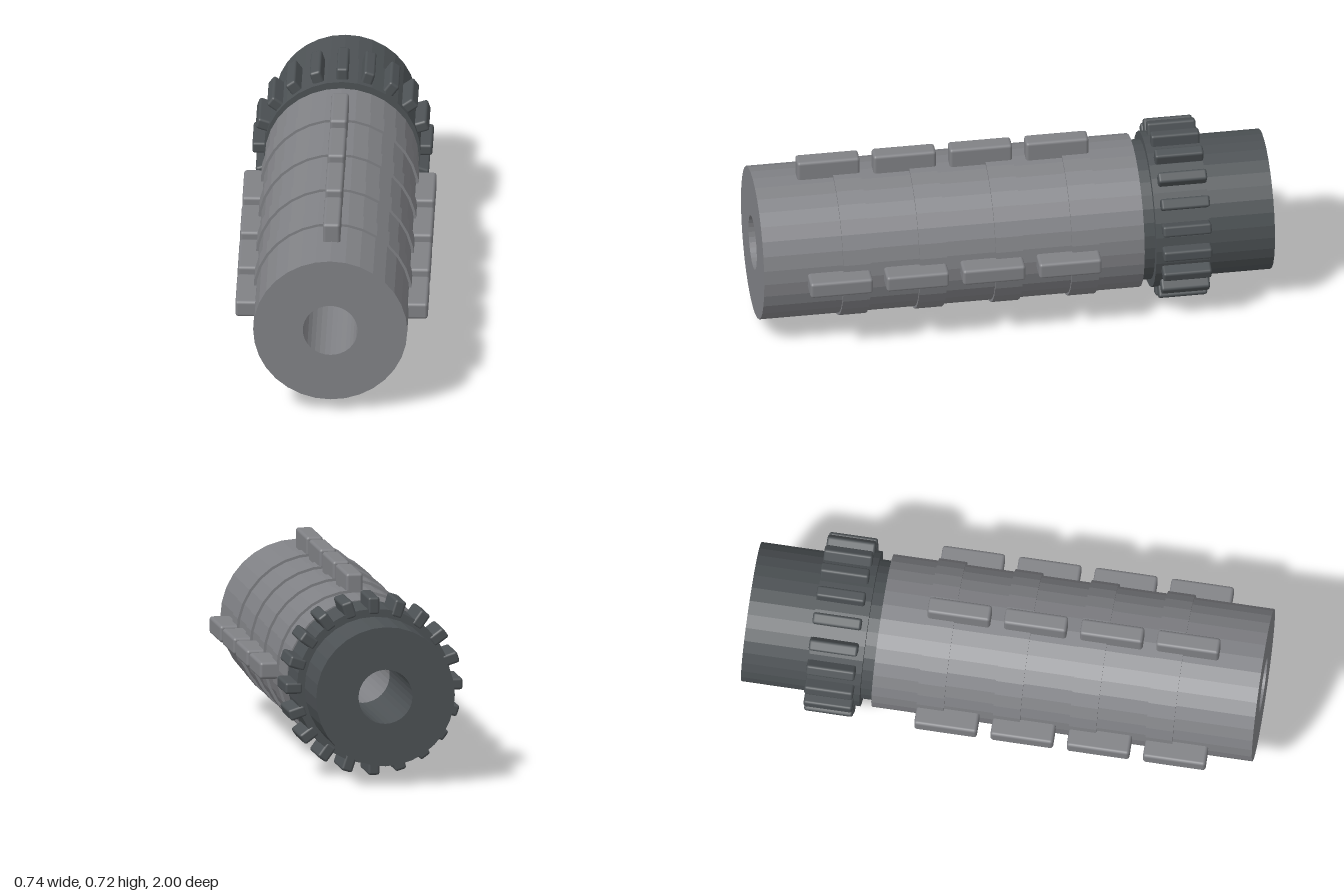
import * as THREE from 'three';
import { RoundedBoxGeometry } from 'three/addons/geometries/RoundedBoxGeometry.js';

const AXIS_Y = 0.348, BORE = 0.106, SIDES = 32;

const bodyGrey = new THREE.MeshStandardMaterial({ name: 'bodyGrey', color: 0x808185 });
const darkGrey = new THREE.MeshStandardMaterial({ name: 'darkGrey', color: 0x4d5255 });

export function createModel() {
  const model = new THREE.Group();
  model.name = 'ribbedGrip';

  const add = (name, geometry, material, parent = model) => {
    const mesh = new THREE.Mesh(geometry, material);
    mesh.name = name;
    parent.add(mesh);
    return mesh;
  };

  // Faceted tube along z, from a closed profile
  const tube = (name, inner, outer, z0, z1, material) => {
    const profile = [[inner, z0], [outer, z0], [outer, z1], [inner, z1], [inner, z0]]
      .map(([r, z]) => new THREE.Vector2(r, z));
    const geometry = new THREE.LatheGeometry(profile, SIDES).rotateX(Math.PI / 2).toNonIndexed();
    geometry.computeVertexNormals();
    return add(name, geometry, material);
  };

  // Rounded bar lying along z, placed at an angle around the axis (0 = top)
  const bar = (name, width, inner, outer, z0, z1, round, angle, material) => {
    const geometry = new RoundedBoxGeometry(width, outer - inner, z1 - z0, 2, round);
    geometry.translate(0, (inner + outer) / 2, (z0 + z1) / 2).rotateZ(angle);
    return add(name, geometry, material);
  };

  // Main barrel
  tube('barrel', BORE, 0.298, -0.487, 1, bodyGrey);

  // Raised rings, each with lugs on the top, left and right
  for (let i = 0; i < 4; i++) {
    const z = 0.585 - i * 0.298;
    tube('ring', 0.28, 0.308, z, z + 0.106, bodyGrey);
    for (const angle of [-Math.PI / 2, 0, Math.PI / 2]) {
      bar('lug', 0.067, 0.27, 0.372, z, z + 0.245, 0.012, angle, bodyGrey);
    }
  }

  // Rear shaft and toothed collar
  tube('rearShaft', BORE, 0.272, -1, -0.487, darkGrey);
  tube('collar', 0.26, 0.303, -0.742, -0.532, darkGrey);
  for (let i = 0; i < 20; i++) {
    bar('tooth', 0.045, 0.28, 0.348, -0.745, -0.555, 0.01, i * Math.PI / 10, darkGrey);
  }

  model.children.forEach((mesh) => { mesh.position.y = AXIS_Y; });
  return model;
}
